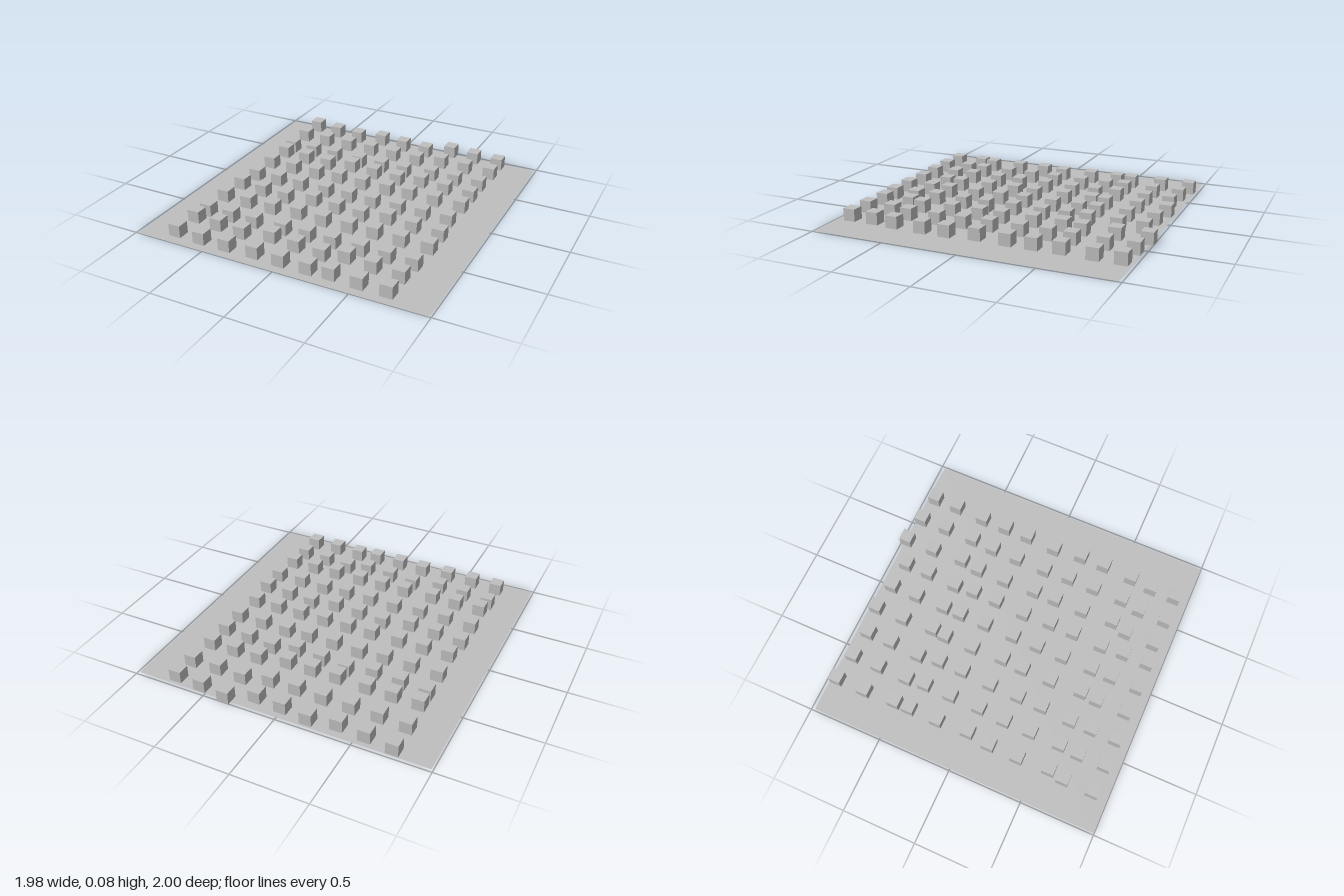
import * as THREE from 'three';

export function createModel() {
  const model = new THREE.Group();
  const grey = new THREE.MeshStandardMaterial({ color: 0xbfbfbf, side: THREE.DoubleSide });
  grey.name = 'plain grey';

  // Flat square ground sheet
  const sheet = new THREE.Mesh(new THREE.PlaneGeometry(1.976, 1.976), grey);
  sheet.name = 'groundSheet';
  sheet.rotation.x = -Math.PI / 2;
  sheet.position.z = 0.01;
  model.add(sheet);

  // One cluster of cubes: [x, z] offsets from its front-middle cube
  const cluster = [
    [-0.186, -0.026], [0, 0], [0.186, 0.016],
    [-0.186, 0.175], [0, 0.185], [0.186, 0.185],
    [-0.175, 0.392], [0, 0.392], [0.175, 0.392],
  ];

  // Cluster origins [x, z], row by row from the back
  const origins = [
    [-0.558, -0.908], [0, -0.898], [0.545, -0.935],
    [-0.547, -0.384], [0, -0.384], [0.534, -0.384],
    [-0.558, 0.193], [0, 0.185], [0.545, 0.188],
    [-0.566, 0.717], [0, 0.717], [0.518, 0.717],
  ];

  const size = 0.082;
  const cube = new THREE.BoxGeometry(size, size, size);
  origins.forEach(([x, z], i) => {
    const group = new THREE.Group();
    group.name = `cubeCluster${i + 1}`;
    group.position.set(x, size / 2, z);
    // The front clusters have only two rows
    const count = i < 9 ? 9 : 6;
    cluster.slice(0, count).forEach(([dx, dz], j) => {
      const block = new THREE.Mesh(cube, grey);
      block.name = `cube${j + 1}`;
      block.position.set(dx, 0, dz);
      group.add(block);
    });
    model.add(group);
  });
  return model;
}
